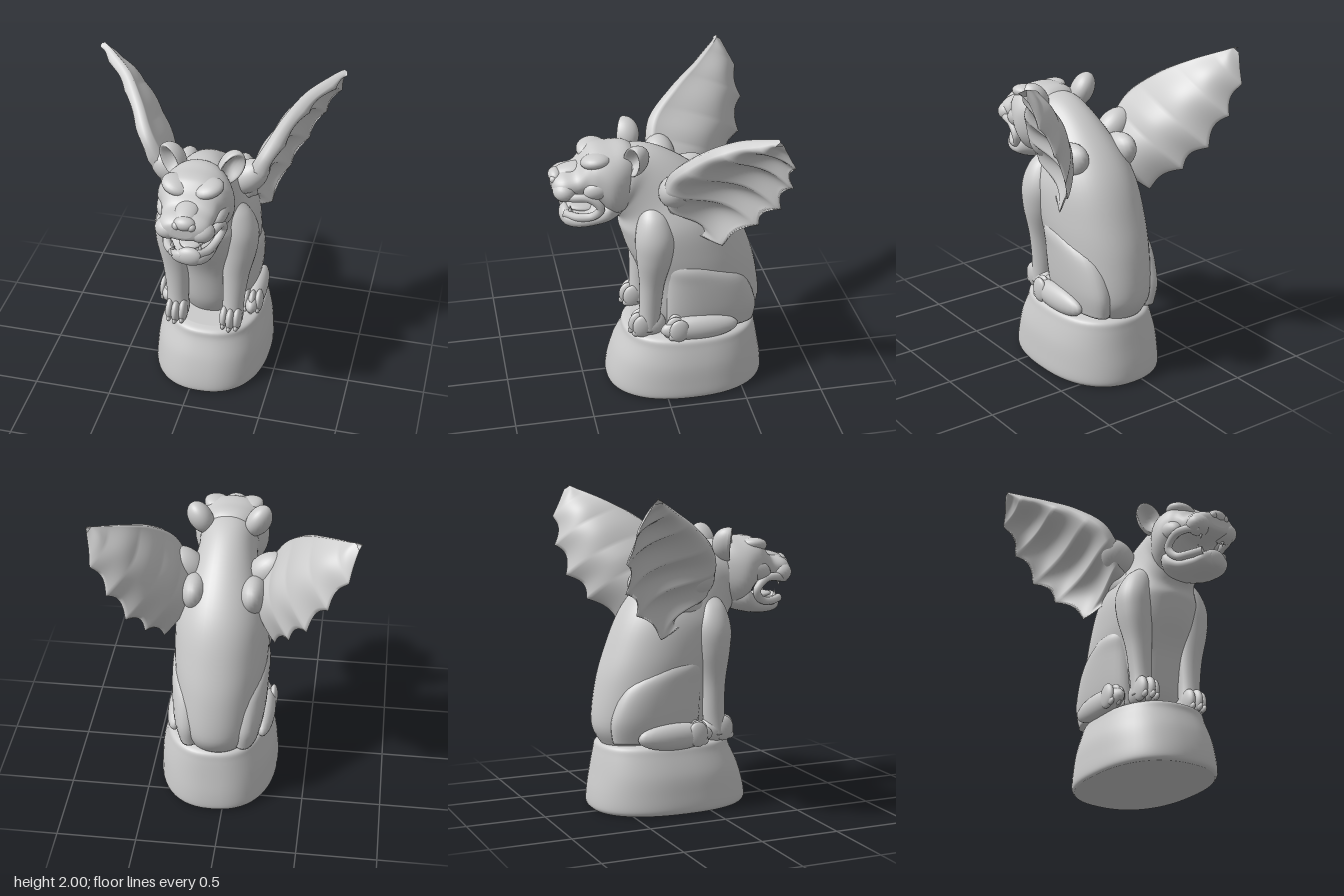
import * as THREE from 'three';

const MID = 0.05; // body centre line
const stone = new THREE.MeshStandardMaterial({ color: 0xcccccc, side: THREE.DoubleSide });

// Grid surface, wrapped in its second direction
function surface(nu, nv, fn) {
  const pos = [], index = [];
  for (let i = 0; i <= nu; i++) for (let j = 0; j < nv; j++) pos.push(...fn(i / nu, j / nv));
  for (let i = 0; i < nu; i++) for (let j = 0; j < nv; j++) {
    const k = (j + 1) % nv, a = i * nv + j, b = a + nv, c = i * nv + k, d = c + nv;
    index.push(a, b, c, b, d, c);
  }
  const g = new THREE.BufferGeometry();
  g.setAttribute('position', new THREE.Float32BufferAttribute(pos, 3));
  g.setIndex(index);
  g.computeVertexNormals();
  return g;
}

// Smooth loft through sections [x, y, z, halfWidth, halfDepth, tilt in degrees]
function loft(sections, power = 1, nv = 40) {
  const first = sections[0], last = sections[sections.length - 1];
  const flat = (s) => [s[0], s[1], s[2], 0, 0, s[5] || 0];
  const n = sections.length - 1, steps = n * 6;
  const at = (f) => {
    const i = Math.min(n - 1, Math.floor(f)), t = f - i;
    const get = (k) => sections[Math.max(0, Math.min(n, k))];
    return [0, 1, 2, 3, 4, 5].map((c) => {
      const [a, b, d, e] = [i - 1, i, i + 1, i + 2].map((k) => get(k)[c] || 0);
      return b + 0.5 * t * (d - a + t * (2 * a - 5 * b + 4 * d - e + t * (3 * (b - d) + e - a)));
    });
  };
  const bend = (v) => Math.sign(v) * Math.abs(v) ** power;
  return surface(steps + 2, nv, (u, v) => {
    const row = Math.round(u * (steps + 2));
    const s = row === 0 ? flat(first) : row === steps + 2 ? flat(last) : at((row - 1) / 6);
    const a = v * Math.PI * 2, th = s[5] * Math.PI / 180, d = s[4] * bend(Math.sin(a));
    return [s[0] + s[3] * bend(Math.cos(a)), s[1] - d * Math.sin(th), s[2] + d * Math.cos(th)];
  });
}

function add(parent, name, geometry) {
  const m = new THREE.Mesh(geometry, stone);
  m.name = name;
  parent.add(m);
  return m;
}

function blob(parent, name, p, r, rot = [0, 0, 0]) {
  const m = add(parent, name, new THREE.SphereGeometry(1, 24, 16));
  m.position.set(...p);
  m.scale.set(...r);
  m.rotation.set(...rot);
  return m;
}

// Ribbed, scalloped wing between a leading and a trailing curve, with a thick arm
function wing(s) {
  const curve = (pts) => new THREE.CatmullRomCurve3(pts.map((p) => new THREE.Vector3(...p)));
  const lead = curve([[0.14, 1.36, -0.06], [0.26, 1.5, 0], [0.35, 1.65, -0.02], [0.46, 1.81, -0.19], [0.57, 1.91, -0.36], [0.71, 1.975, -0.5], [0.78, 2, -0.56]]);
  const trail = curve([[0.24, 1.24, -0.02], [0.34, 1.11, -0.34], [0.43, 1.28, -0.54], [0.53, 1.43, -0.65], [0.64, 1.62, -0.69], [0.74, 1.8, -0.67], [0.775, 1.97, -0.58]]);
  const out = new THREE.Vector3(0.8, -0.45, 0.4).normalize();
  return surface(96, 56, (u, v) => {
    const outer = v < 0.5, w = outer ? v * 2 : 2 - v * 2;
    const L = lead.getPoint(u ** 1.3), T = trail.getPoint(u);
    const rib = 1 - Math.abs(Math.sin(Math.PI * u * 6));
    const width = L.distanceTo(T);
    const scallop = 1 - Math.min(0.12, 0.055 / Math.max(width, 0.05)) * (1 - rib) * w;
    const p = L.clone().lerp(T, w * scallop);
    const taper = Math.min(1, width * 3);
    const thick = 0.025 * (1 - u * 0.6) * Math.sqrt(Math.max(0, 1 - w)) + 0.012 * Math.sin(Math.PI * w);
    const arm = 0.1 * (1 - 0.5 * u) * Math.sin(Math.PI * Math.sqrt(w)) * (1 - w) * taper;
    const fold = 0.04 * (rib - 0.45) * Math.sin(Math.PI * Math.min(1, w * 0.85)) * taper;
    const cup = -0.15 * width * Math.sin(Math.PI * w ** 1.3);
    p.addScaledVector(out, cup + (outer ? thick + arm + fold : -thick + fold * 0.2));
    p.z += 0.03 * Math.sin(Math.PI * w) * u;
    return [s * p.x + 0.045 * (2 - p.y) / 0.8, Math.min(p.y, 2), p.z];
  });
}

// Paw with a palm and rounded toes
function paw(parent, name, x, z, w, len) {
  const g = new THREE.Group();
  g.name = name;
  parent.add(g);
  blob(g, 'palm', [x, 0.485, z - len * 0.35], [w, 0.085, len * 0.7]);
  for (let i = -1; i <= 1; i++) {
    blob(g, 'toe', [x + i * w * 0.62, 0.495, z + 0.03 - Math.abs(i) * 0.02], [w * 0.42, 0.08, 0.065]);
    blob(g, 'claw', [x + i * w * 0.62, 0.45, z + 0.07 - Math.abs(i) * 0.02], [w * 0.22, 0.025, 0.03]);
  }
}

export function createModel() {
  const model = new THREE.Group();
  model.name = 'gargoyle';

  add(model, 'plinth', loft([
    [0.065, 0, -0.165, 0.36, 0.5], [0.065, 0.03, -0.165, 0.377, 0.517], [0.066, 0.12, -0.168, 0.374, 0.508],
    [0.068, 0.24, -0.175, 0.362, 0.48], [0.073, 0.36, -0.19, 0.33, 0.442], [0.075, 0.415, -0.19, 0.31, 0.425],
    [0.075, 0.435, -0.19, 0.26, 0.37],
  ], 0.85, 56));

  // Seated torso bending forward into the neck
  add(model, 'body', loft([
    [MID, 0.42, -0.29, 0.22, 0.31, 0], [MID, 0.55, -0.29, 0.26, 0.37, 0], [MID, 0.8, -0.25, 0.28, 0.38, 0],
    [MID, 1.0, -0.18, 0.295, 0.385, 2], [MID, 1.2, -0.1, 0.285, 0.355, 12], [MID, 1.36, 0.02, 0.22, 0.28, 35],
    [MID, 1.45, 0.14, 0.185, 0.245, 55], [MID, 1.47, 0.22, 0.185, 0.22, 75], [MID - 0.005, 1.47, 0.28, 0.14, 0.17, 90],
  ], 0.95, 48));

  for (const s of [1, -1]) {
    const side = s > 0 ? 'left' : 'right', x = (d) => MID + s * d;
    add(model, side + 'FrontLeg', loft([
      [x(0.18), 0.46, 0.1, 0.07, 0.07], [x(0.185), 0.6, 0.085, 0.07, 0.07], [x(0.195), 0.8, 0.075, 0.085, 0.08],
      [x(0.215), 1.0, 0.06, 0.11, 0.115], [x(0.215), 1.15, 0.055, 0.115, 0.125], [x(0.185), 1.28, 0.06, 0.09, 0.09],
      [x(0.14), 1.36, 0.06, 0.04, 0.04],
    ], 1, 28));
    add(model, side + 'Thigh', loft([
      [x(0.17), 0.45, -0.31, 0.09, 0.28], [x(0.18), 0.6, -0.31, 0.11, 0.29], [x(0.18), 0.8, -0.26, 0.125, 0.25],
      [x(0.185), 0.91, -0.18, 0.115, 0.17], [x(0.18), 0.98, -0.13, 0.07, 0.09],
    ], 0.9, 32));
    paw(model, side + 'FrontPaw', x(0.18), 0.13, 0.07, 0.14);
    paw(model, side + 'HindPaw', x(0.28), -0.09, 0.065, 0.36);
    add(model, side + 'Wing', wing(s));
    // Shoulder joining the wing arm to the back
    blob(model, side + 'WingShoulder', [0.035 + s * 0.25, 1.46, -0.06], [0.14, 0.1, 0.1], [0, 0, s * 0.7]);
    blob(model, side + 'ShoulderBlade', [0.035 + s * 0.18, 1.34, -0.17], [0.09, 0.12, 0.2], [0.5, 0, 0]);
  }

  const head = new THREE.Group();
  head.name = 'head';
  head.position.x = 0.045;
  model.add(head);
  // Skull, brow step and upper muzzle
  add(head, 'skull', loft([
    [0, 1.5, 0.08, 0.08, 0.1, 90], [0, 1.49, 0.19, 0.18, 0.205, 90], [0, 1.48, 0.3, 0.235, 0.22, 90],
    [0, 1.53, 0.4, 0.21, 0.165, 90], [0, 1.53, 0.46, 0.175, 0.12, 90], [0, 1.495, 0.52, 0.16, 0.085, 90],
    [0, 1.485, 0.6, 0.155, 0.08, 90], [0, 1.48, 0.65, 0.12, 0.06, 90], [0, 1.48, 0.665, 0.06, 0.035, 90],
  ], 0.9, 40));
  add(head, 'lowerJaw', loft([
    [0, 1.34, 0.22, 0.11, 0.09, 90], [0, 1.315, 0.32, 0.185, 0.1, 90], [0.01, 1.26, 0.42, 0.155, 0.065, 90],
    [0.02, 1.245, 0.52, 0.13, 0.055, 90], [0.02, 1.255, 0.59, 0.1, 0.05, 90], [0.02, 1.265, 0.615, 0.05, 0.03, 90],
  ], 0.9, 32));
  blob(head, 'tongue', [0.015, 1.305, 0.47], [0.075, 0.025, 0.11], [-0.1, 0, 0]);
  blob(head, 'nose', [0.01, 1.53, 0.635], [0.065, 0.042, 0.045]);
  blob(head, 'noseBridge', [0, 1.545, 0.53], [0.075, 0.05, 0.14], [0.15, 0, 0]);
  blob(head, 'chin', [0.025, 1.265, 0.585], [0.08, 0.06, 0.04]);

  for (const s of [1, -1]) {
    blob(head, 'brow', [s * 0.09, 1.635, 0.395], [0.1, 0.05, 0.095], [0.05, 0, s * 0.25]);
    blob(head, 'eye', [s * 0.105, 1.57, 0.44], [0.042, 0.032, 0.04]);
    blob(head, 'cheek', [s * 0.165, 1.49, 0.38], [0.055, 0.065, 0.11], [0.3, 0, 0]);
    blob(head, 'whiskerPad', [s * 0.1, 1.46, 0.59], [0.08, 0.065, 0.075]);
    blob(head, 'nostril', [s * 0.045 + 0.01, 1.52, 0.65], [0.026, 0.025, 0.026]);
    // Lip fold running round the corner of the open mouth
    const lip = [[0.11, 1.42, 0.62], [0.155, 1.435, 0.55], [0.18, 1.43, 0.45], [0.185, 1.36, 0.385], [0.155, 1.295, 0.43], [0.125, 1.28, 0.52], [0.075, 1.29, 0.595]];
    add(head, 'lip', new THREE.TubeGeometry(new THREE.CatmullRomCurve3(
      lip.map((p) => new THREE.Vector3(s * p[0], p[1], p[2]))), 40, 0.026, 10));
    for (const up of [1, -1]) {
      const fang = add(head, 'fang', new THREE.ConeGeometry(0.018, 0.06, 12));
      fang.position.set(s * 0.085, up > 0 ? 1.395 : 1.32, up > 0 ? 0.59 : 0.56);
      fang.rotation.x = up > 0 ? Math.PI : 0;
    }
    // Cupped ear: the front of a ball pushed inward
    const g = new THREE.SphereGeometry(1, 28, 20), p = g.attributes.position;
    for (let i = 0; i < p.count; i++) {
      const z = p.getZ(i);
      if (z > 0) p.setZ(i, z * (1.1 - 1.5 * z));
    }
    g.computeVertexNormals();
    const ear = add(head, 'ear', g);
    ear.position.set(s * 0.185, 1.66, 0.18);
    ear.scale.set(0.075, 0.115, 0.1);
    ear.rotation.set(0.1, s * 0.5, -s * 0.5);
  }
  return model;
}
